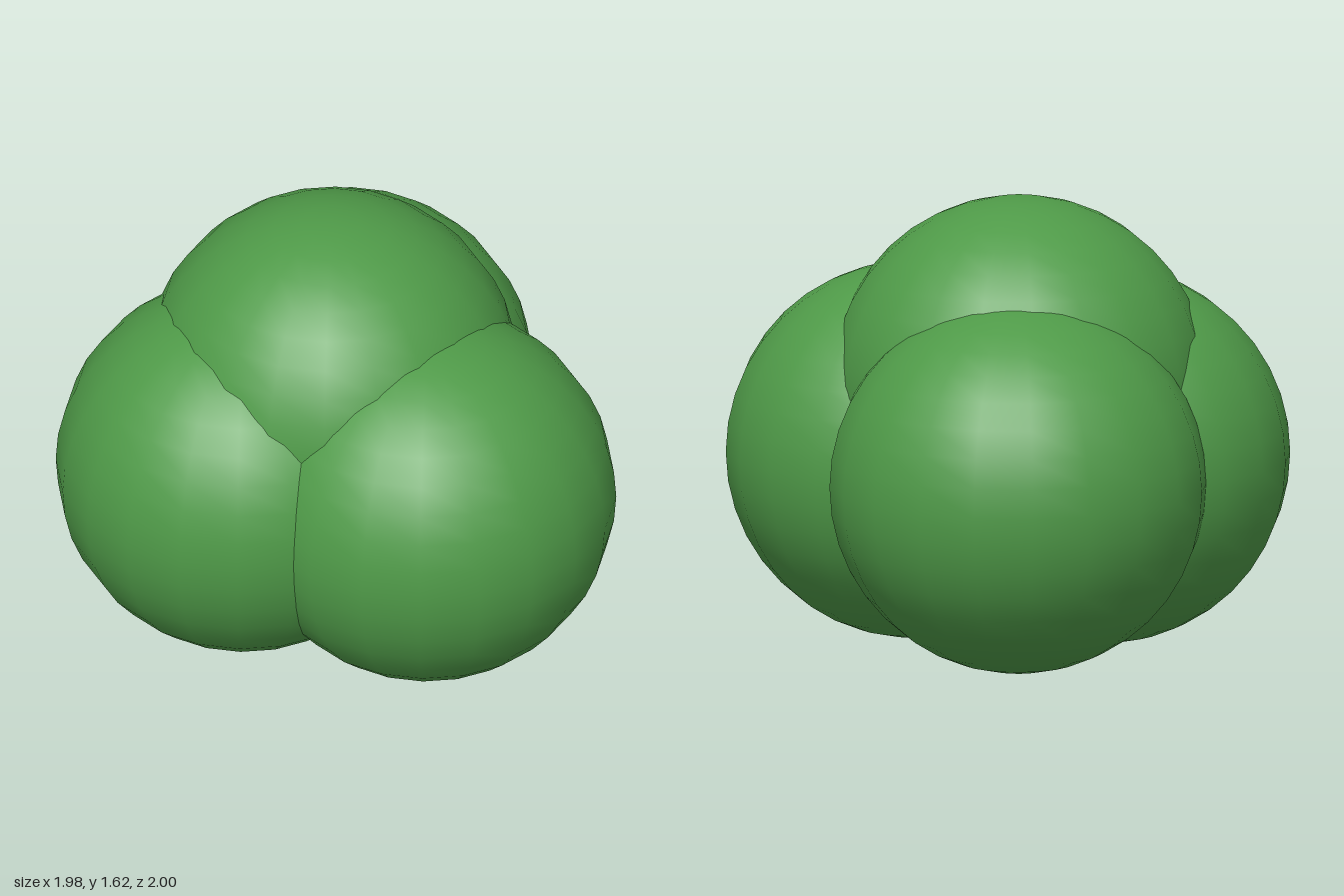
import * as THREE from 'three';

export function createModel() {
  const group = new THREE.Group();
  group.name = 'bush';
  const foliage = new THREE.MeshStandardMaterial({ color: 0x4f9a48 });
  const ball = new THREE.SphereGeometry(0.667, 20, 20);

  // Four equal leaf clumps: three on the ground, one resting on top
  const clumps = [
    ['frontClump', -0.067, 0.667, 0.333],
    ['backLeftClump', 0.32, 0.667, -0.333],
    ['backRightClump', -0.322, 0.667, -0.285],
    ['topClump', -0.033, 0.953, -0.123],
  ];
  for (const [name, x, y, z] of clumps) {
    const clump = new THREE.Mesh(ball, foliage);
    clump.name = name;
    clump.position.set(x, y, z);
    group.add(clump);
  }
  return group;
}
